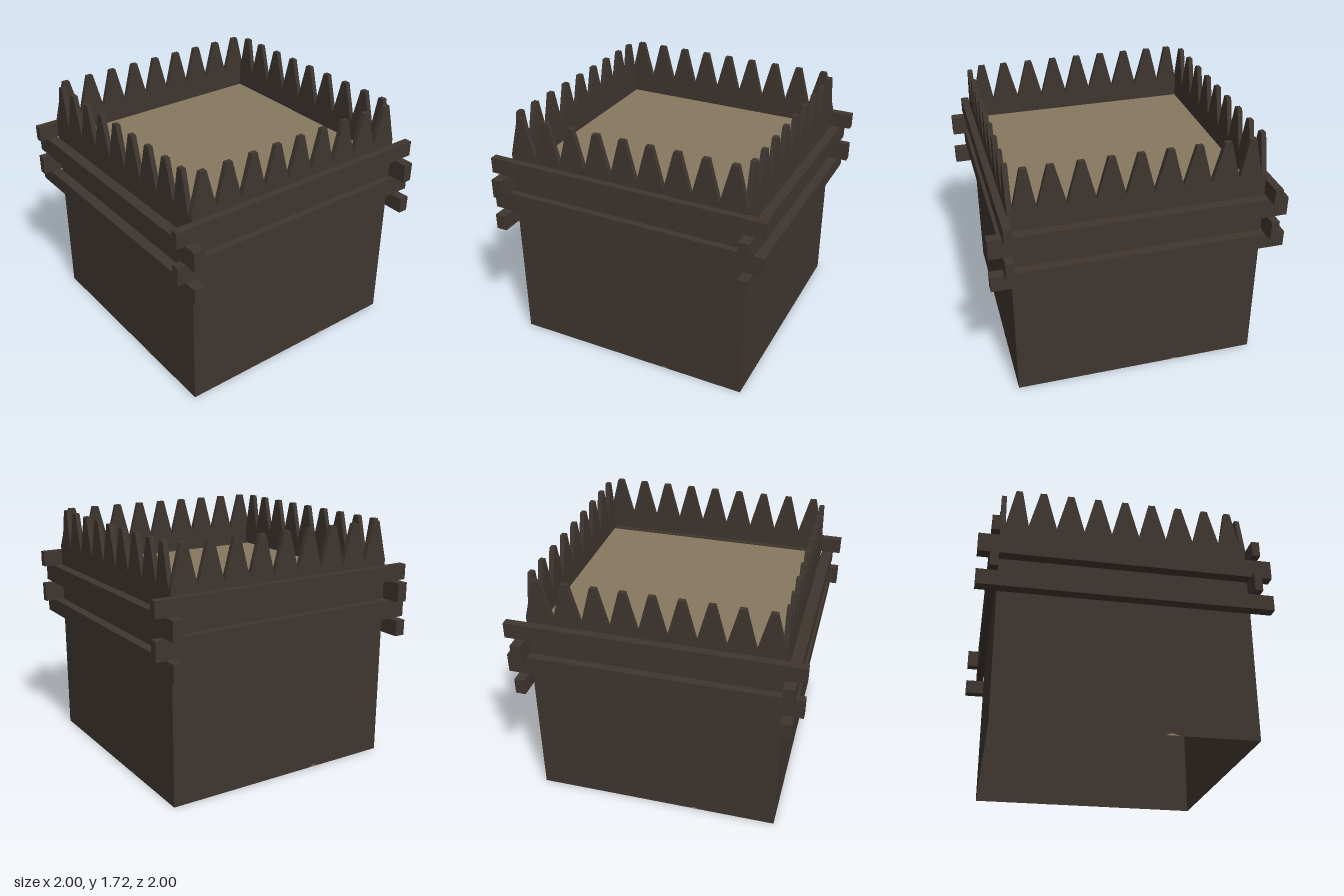
import * as THREE from 'three';

const HALF = 0.857;      // half width of the tower
const THICK = 0.034;     // thickness of the palisade
const BASE = 1.28;       // height where the palisade starts
const VALLEY = 1.44, TIP = 1.715, STEP = 0.191;

// outline of one palisade panel with nine blunt stakes
function palisadeShape(half) {
  const s = new THREE.Shape();
  s.moveTo(-half, BASE);
  s.lineTo(-half, VALLEY);
  for (let k = -4; k <= 4; k++) {
    const limit = half - 0.082;
    const c = THREE.MathUtils.clamp(k * STEP, -limit, limit);
    s.lineTo(c - 0.022, TIP);
    s.lineTo(c + 0.022, TIP);
    s.lineTo(Math.min((k + 0.5) * STEP, half), VALLEY);
  }
  s.lineTo(half, BASE);
  return s;
}

export function createModel() {
  const wood = new THREE.MeshStandardMaterial({ color: 0x3f362f });
  const woodSheet = new THREE.MeshStandardMaterial({ color: 0x3f362f, side: THREE.DoubleSide });
  const planks = new THREE.MeshStandardMaterial({ color: 0x887760, side: THREE.DoubleSide });
  wood.name = 'darkWood';
  woodSheet.name = 'darkWoodSheet';
  planks.name = 'floorTan';

  const model = new THREE.Group();
  model.name = 'watchtowerTop';
  const add = (parent, name, geometry, material, x = 0, y = 0, z = 0) => {
    const mesh = new THREE.Mesh(geometry, material);
    mesh.name = name;
    mesh.position.set(x, y, z);
    parent.add(mesh);
    return mesh;
  };

  // four sides: thin lower wall, spiked palisade, small pale chip at the foot
  ['front', 'left', 'back', 'right'].forEach((name, i) => {
    const side = new THREE.Group();
    side.name = name + 'Side';
    side.rotation.y = i * Math.PI / 2;
    add(side, 'wall', new THREE.PlaneGeometry(2 * HALF, BASE), woodSheet, 0, BASE / 2, HALF);
    const half = i % 2 ? HALF - THICK : HALF;
    const panel = new THREE.ExtrudeGeometry(palisadeShape(half), { depth: THICK, bevelEnabled: false });
    add(side, 'palisade', panel, wood, 0, 0, HALF - THICK);
    const chip = new THREE.Shape([[0.235, 0], [0.33, 0], [0.3, 0.01], [0.275, 0.016]]
      .map(([x, y]) => new THREE.Vector2(x, y)));
    add(side, 'chip', new THREE.ShapeGeometry(chip), planks, 0, 0, HALF + 0.002);
    model.add(side);
  });

  // platform floor and the ledge along its front edge
  const floor = add(model, 'floor', new THREE.PlaneGeometry(1.65, 1.62), planks, 0, 1.305, -0.02);
  floor.rotation.x = -Math.PI / 2;
  add(model, 'frontLedge', new THREE.BoxGeometry(1.65, 0.03, 0.035), wood, 0, 1.297, 0.808);

  // crossed beams, front and back pairs alternate with side pairs
  for (const [low, high] of [[1.02, 1.155], [1.29, 1.4]]) {
    const h = high - low, y = (low + high) / 2;
    add(model, 'frontBeam', new THREE.BoxGeometry(2, h, 0.055), wood, 0, y, 0.879);
    add(model, 'backBeam', new THREE.BoxGeometry(2, h, 0.055), wood, 0, y, -0.889);
  }
  for (const [low, high] of [[0.91, 1.02], [1.155, 1.29]]) {
    const h = high - low, y = (low + high) / 2;
    add(model, 'leftBeam', new THREE.BoxGeometry(0.07, h, 2), wood, 0.891, y, 0);
    add(model, 'rightBeam', new THREE.BoxGeometry(0.076, h, 2), wood, -0.902, y, 0);
  }
  return model;
}
